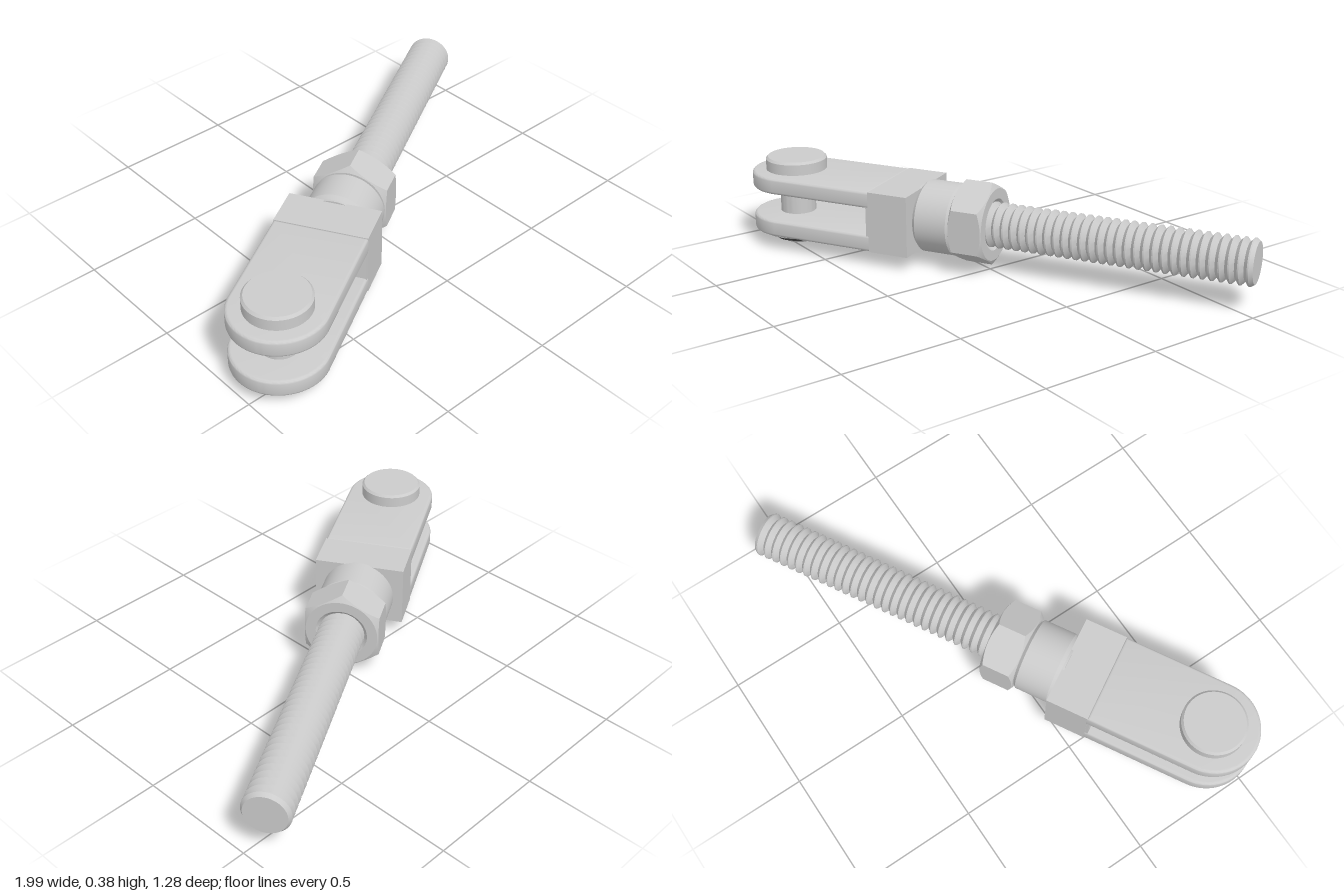
import * as THREE from 'three';
import { toCreasedNormals } from 'three/addons/utils/BufferGeometryUtils.js';

const MID = 0.193; // height of the rod axis

export function createModel() {
  const root = new THREE.Group();
  root.name = 'threadedForkEnd';
  const grey = new THREE.MeshStandardMaterial({ color: 0xcccccc });
  const dark = new THREE.MeshStandardMaterial({ color: 0x333333 });

  // Everything is built along x with the pin at the origin, then turned 30 degrees.
  const body = new THREE.Group();
  body.name = 'assembly';
  body.position.set(-0.81, 0, 0.45);
  body.rotation.y = Math.PI / 6;
  root.add(body);

  const add = (name, geometry, y = 0, material = grey) => {
    const mesh = new THREE.Mesh(geometry, material);
    mesh.name = name;
    mesh.position.y = y;
    body.add(mesh);
    return mesh;
  };
  const lathe = (points, segments = 64) =>
    new THREE.LatheGeometry(points.map(([r, h]) => new THREE.Vector2(r, h)), segments);
  const crease = (g, angle = 0.4) => toCreasedNormals(g, angle);
  const box = (x0, x1, h, w) => new THREE.BoxGeometry(x1 - x0, h, w).translate((x0 + x1) / 2, 0, 0);

  // Fork arms with rounded ends and softened edges
  const R = 0.19, B = 0.012, ARM = 0.071;
  const armShape = new THREE.Shape();
  armShape.moveTo(0.455 - B, R - B);
  armShape.lineTo(0, R - B);
  armShape.absarc(0, 0, R - B, Math.PI / 2, Math.PI * 1.5, false);
  armShape.lineTo(0.455 - B, -R + B);
  armShape.closePath();
  const armGeometry = crease(new THREE.ExtrudeGeometry(armShape, {
    depth: ARM - 2 * B, bevelSize: B, bevelThickness: B, bevelSegments: 3, curveSegments: 32,
  }).translate(0, 0, B).rotateX(-Math.PI / 2), 0.6);
  add('lowerArm', armGeometry, 0.063);
  add('upperArm', armGeometry, 0.323 - ARM);

  // Solid end of the fork and the floor of the slot
  add('forkBlock', box(0.452, 0.63, 0.26, 0.38), MID);
  add('slotFloor', box(0.44, 0.46, 0.14, 0.375), MID);

  // Round neck
  add('neck', crease(lathe([
    [0, 0.62], [0.138, 0.62], [0.138, 0.63], [0.152, 0.645], [0.152, 0.785], [0.14, 0.797], [0, 0.797],
  ]).rotateZ(-Math.PI / 2)), MID);

  // Hex nut: round profile pushed out to a hexagon, with conical corner chamfers
  const AP = 0.155, N0 = 0.797, N1 = 0.945;
  const nut = lathe([[0.085, N0], [AP - 0.004, N0], [1, N0], [1, N1], [AP - 0.004, N1], [0.108, N1], [0.08, N1 - 0.03]], 72);
  const p = nut.attributes.position;
  for (let i = 0; i < p.count; i++) {
    const x = p.getX(i), z = p.getZ(i), y = p.getY(i);
    if (Math.hypot(x, z) < 0.9) continue;
    const a = Math.atan2(x, z), sixth = Math.PI / 3;
    const r = AP / Math.cos(a - Math.round(a / sixth) * sixth);
    const drop = (r - AP + 0.004) * 0.6;
    p.setXYZ(i, r * Math.sin(a), y === p.getY(2) || y < 0.87 ? N0 + drop : N1 - drop, r * Math.cos(a));
  }
  add('hexNut', crease(nut.rotateZ(-Math.PI / 2)), MID);

  // Threaded rod: repeated V-shaped ridges
  const PITCH = 0.037, END = 2.03, CREST = 0.095, ROOT = 0.076;
  const thread = [[0, 0.79], [ROOT, 0.79]];
  const turns = Math.floor((END - 0.8) / PITCH);
  for (let i = 0; i < turns; i++) {
    const x = END - (turns - i) * PITCH;
    thread.push([ROOT, x], [CREST, x + PITCH * 0.42], [CREST, x + PITCH * 0.58]);
  }
  thread.push([0.084, END], [0, END]);
  add('threadedRod', crease(lathe(thread, 48).rotateZ(-Math.PI / 2)), MID);

  // Clevis pin: grooved tip, shaft and flat head
  add('pin', crease(lathe([
    [0, 0], [0.066, 0], [0.076, 0.01], [0.076, 0.019], [0.062, 0.019], [0.062, 0.033], [0.076, 0.033],
    [0.076, 0.324], [0.131, 0.324], [0.131, 0.37], [0.122, 0.38], [0, 0.38],
  ])));

  // Washer below the fork
  add('washer', crease(lathe([
    [0.07, 0.044], [0.147, 0.044], [0.152, 0.049], [0.152, 0.063], [0.07, 0.063],
  ])));

  // Retaining clip: open ring with three inward prongs
  const clip = new THREE.Shape();
  const GAP = 0.42, STEPS = 60;
  clip.absarc(0, 0, 0.106, GAP, Math.PI * 2 - GAP, false);
  for (let i = STEPS; i >= 0; i--) {
    const a = GAP + (i / STEPS) * (Math.PI * 2 - 2 * GAP);
    const prong = i < 7 || i > STEPS - 7 || Math.abs(i - STEPS / 2) < 6;
    const r = prong ? 0.062 : 0.085;
    clip.lineTo(r * Math.cos(a), r * Math.sin(a));
  }
  clip.closePath();
  add('retainingClip', crease(new THREE.ExtrudeGeometry(clip, {
    depth: 0.012, bevelEnabled: false, curveSegments: 40,
  }).rotateX(-Math.PI / 2)), 0.02, dark);

  return root;
}
